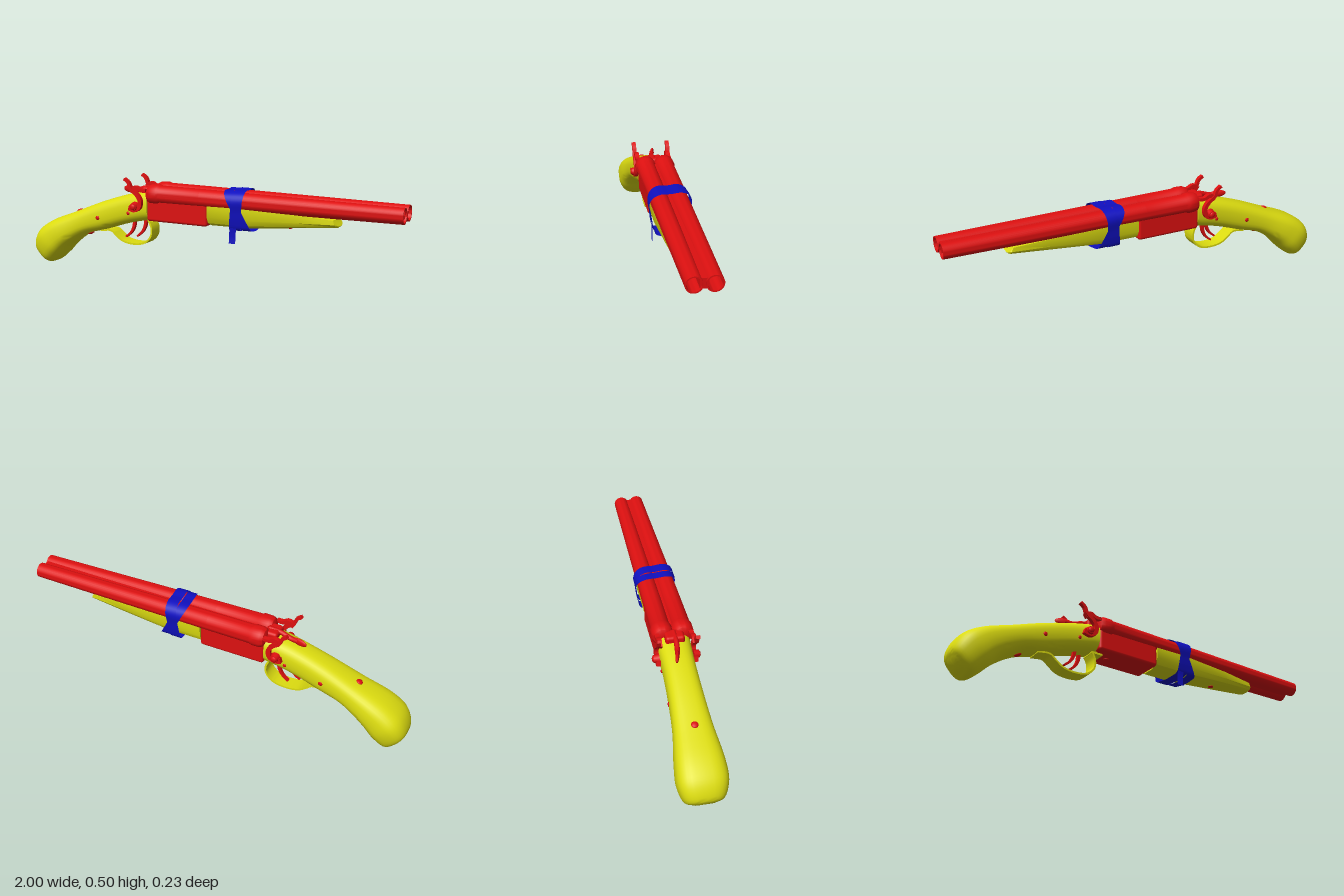
import * as THREE from 'three';
import { toCreasedNormals } from 'three/addons/utils/BufferGeometryUtils.js';
import { RoundedBoxGeometry } from 'three/addons/geometries/RoundedBoxGeometry.js';

const red = new THREE.MeshStandardMaterial({ color: 0xdd1010 });
const yellow = new THREE.MeshStandardMaterial({ color: 0xdddd10 });
const blue = new THREE.MeshStandardMaterial({ color: 0x1010c0, side: THREE.DoubleSide });
const V = (x, y, z = 0) => new THREE.Vector3(x, y, z);

// Closed skin over rings of points that run from -x to +x
function loft(rings) {
  const n = rings[0].length, pts = rings.flat(), index = [];
  for (let i = 0; i < rings.length - 1; i++) for (let j = 0; j < n; j++) {
    const k = (j + 1) % n, a = i * n + j, b = i * n + k;
    index.push(a, a + n, b, b, a + n, b + n);
  }
  [rings[0], rings[rings.length - 1]].forEach((ring, end) => {
    const c = pts.length;
    const mid = ring.reduce((s, p) => s.add(p), V(0, 0)).divideScalar(n);
    pts.push(mid, ...ring);
    for (let j = 0; j < n; j++) {
      const a = c + 1 + j, b = c + 1 + (j + 1) % n;
      index.push(c, end ? b : a, end ? a : b);
    }
  });
  const g = new THREE.BufferGeometry().setFromPoints(pts);
  g.setIndex(index);
  return toCreasedNormals(g, 0.6);
}

// Curved bar in the xy plane, tapering from t0 to t1, with a depth along z
function strip(points, t0, t1, depth, z = 0, steps = 24) {
  const curve = new THREE.CatmullRomCurve3(points.map(p => V(...p)));
  const a = [], b = [];
  for (let i = 0; i <= steps; i++) {
    const u = i / steps, p = curve.getPointAt(u), d = curve.getTangentAt(u);
    const h = (t0 + (t1 - t0) * u) / 2;
    a.push(new THREE.Vector2(p.x - d.y * h, p.y + d.x * h));
    b.unshift(new THREE.Vector2(p.x + d.y * h, p.y - d.x * h));
  }
  const g = new THREE.ExtrudeGeometry(new THREE.Shape([...a, ...b]), { depth, bevelEnabled: false });
  return toCreasedNormals(g.translate(0, 0, z - depth / 2), 0.6);
}

export function createModel() {
  const model = new THREE.Group();
  const add = (name, geometry, material, parent = model) => {
    const m = new THREE.Mesh(geometry, material);
    m.name = name;
    parent.add(m);
    return m;
  };
  const screw = (x, y, z, r, axis) => {
    const m = add('screw', new THREE.SphereGeometry(r, 14, 8), red);
    m.position.set(x, y, z);
    m.scale[axis] = 0.45;
    return m;
  };

  // Curved pistol stock: top edge (z holds the half width) and bottom edge
  const top = new THREE.CatmullRomCurve3([V(-0.985, 0.07, 0.04), V(-1, 0.11, 0.085), V(-0.97, 0.18, 0.112),
    V(-0.9, 0.233, 0.11), V(-0.74, 0.297, 0.09), V(-0.58, 0.36, 0.08), V(-0.42, 0.41, 0.076), V(-0.285, 0.44, 0.08)]);
  const bottom = new THREE.CatmullRomCurve3([V(-0.95, 0.028), V(-0.905, 0.006), V(-0.845, 0.05), V(-0.785, 0.11),
    V(-0.68, 0.18), V(-0.56, 0.215), V(-0.42, 0.26), V(-0.285, 0.291)]);
  const soft = v => Math.sign(v) * Math.abs(v) ** 0.72;
  const stockRings = [];
  for (let i = 0; i <= 35; i++) {
    const t = top.getPoint(i / 35), b = bottom.getPoint(i / 35), ring = [];
    for (let j = 0; j < 32; j++) {
      const a = j / 32 * Math.PI * 2, s = soft(Math.sin(a)) / 2;
      ring.push(V((t.x + b.x) / 2 + (t.x - b.x) * s, (t.y + b.y) / 2 + (t.y - b.y) * s, t.z * soft(Math.cos(a))));
    }
    stockRings.push(ring);
  }
  add('stock', loft(stockRings), yellow);

  // Receiver block and tapered forend
  const receiver = add('receiver', new RoundedBoxGeometry(0.335, 0.12, 0.16, 3, 0.014), red);
  receiver.position.set(-0.118, 0.352, 0);
  const forendRings = [[0.05, 0.05, 0.4, 0.294, 0.08], [0.24, 0.24, 0.395, 0.296, 0.08],
    [0.5, 0.5, 0.387, 0.32, 0.066], [0.675, 0.69, 0.375, 0.338, 0.052], [0.678, 0.697, 0.37, 0.345, 0.046]]
    .map(([xt, xb, yt, yb, w]) => [[1, 0.45], [1, 1], [-1, 1], [-1, 0.45], [-0.8, 0.15], [-0.4, 0], [0.4, 0], [0.8, 0.15]]
      .map(([z, v]) => V(xb + (xt - xb) * v, yb + (yt - yb) * v, w * z)));
  add('forend', loft(forendRings), yellow);

  // Twin hollow barrels, converging towards the muzzle
  const profile = [[0, 0], [0.028, 0], [0.043, 0.008], [0.051, 0.025], [0.052, 0.065], [0.047, 0.078],
    [0.046, 0.3], [0.0375, 1.29], [0.032, 1.29], [0.032, 0.2], [0, 0.2]].map(p => new THREE.Vector2(...p));
  for (const s of [1, -1]) {
    const start = V(-0.29, 0.426, 0.048 * s), end = V(1, 0.4225, 0.042 * s);
    const barrel = add('barrel', toCreasedNormals(new THREE.LatheGeometry(profile, 32), 0.5), red);
    barrel.position.copy(start);
    barrel.quaternion.setFromUnitVectors(V(0, 1), end.sub(start).normalize());
  }
  const rib = add('barrelRib', new THREE.BoxGeometry(1.26, 0.046, 0.036), red);
  rib.position.set(0.362, 0.423, 0);

  // Standing breech and thumb lever
  const breech = add('breech', new RoundedBoxGeometry(0.07, 0.05, 0.09, 3, 0.014), red);
  breech.position.set(-0.3, 0.432, 0);
  const lever = new THREE.Group();
  lever.name = 'thumbLever';
  model.add(lever);
  const arm = new THREE.CatmullRomCurve3([V(-0.28, 0.45, 0), V(-0.34, 0.445, 0), V(-0.39, 0.43, -0.004), V(-0.43, 0.432, -0.012)]);
  add('leverArm', new THREE.TubeGeometry(arm, 14, 0.012, 8), red, lever);
  const pad = add('leverPad', new THREE.SphereGeometry(1, 16, 10), red, lever);
  pad.scale.set(0.042, 0.018, 0.009);
  pad.position.set(-0.437, 0.431, -0.014);
  pad.rotation.y = -0.25;

  // Outside hammers with their pivots
  for (const s of [1, -1]) {
    const hammer = new THREE.Group();
    hammer.name = 'hammer';
    model.add(hammer);
    add('hammerBody', strip([[-0.405, 0.499], [-0.382, 0.482], [-0.368, 0.45], [-0.335, 0.425], [-0.316, 0.395],
      [-0.322, 0.36], [-0.35, 0.346], [-0.38, 0.355]], 0.014, 0.026, 0.02, 0.087 * s), red, hammer);
    add('hammerNose', strip([[-0.372, 0.44], [-0.345, 0.458], [-0.315, 0.446], [-0.285, 0.447]], 0.024, 0.014, 0.022, 0.08 * s, 10), red, hammer);
    const pivot = add('hammerPivot', new THREE.CylinderGeometry(0.018, 0.024, 0.026, 16), red, hammer);
    pivot.rotation.x = Math.PI / 2 * s;
    pivot.position.set(-0.35, 0.362, 0.093 * s);
    const cap = add('pivotCap', new THREE.SphereGeometry(0.015, 12, 8), red, hammer);
    cap.scale.z = 0.5;
    cap.position.set(-0.35, 0.362, 0.106 * s);
    screw(-0.395, 0.322, 0.077 * s, 0.009, 'z');
    screw(-0.578, 0.283, 0.08 * s, 0.011, 'z');
  }
  screw(-0.74, 0.297, 0, 0.016, 'y').rotation.z = 0.38;
  screw(-0.672, 0.183, 0, 0.018, 'y').rotation.z = 0.4;
  screw(-0.2, 0.291, 0, 0.014, 'y');
  screw(0.45, 0.314, 0, 0.014, 'y');

  // Trigger guard with its tail, front foot and two triggers
  add('triggerGuard', strip([[-0.3, 0.288], [-0.284, 0.25], [-0.288, 0.205], [-0.325, 0.168], [-0.39, 0.156], [-0.455, 0.166],
    [-0.492, 0.19], [-0.525, 0.214], [-0.59, 0.208]], 0.009, 0.009, 0.076, 0, 48), yellow);
  const foot = add('guardFoot', new THREE.BoxGeometry(0.06, 0.014, 0.076), yellow);
  foot.position.set(-0.275, 0.289, 0);
  [[-0.345, -0.018], [-0.39, 0.018]].forEach(([x, z]) => add('trigger',
    strip([[x, 0.285], [x - 0.003, 0.25], [x - 0.02, 0.215], [x - 0.052, 0.187]], 0.018, 0.009, 0.016, z, 12), red));

  // Crossing tape wraps and a hanging tail
  const half = [[0, 0.474], [0.05, 0.476], [0.084, 0.46], [0.099, 0.43], [0.093, 0.38], [0.087, 0.33], [0.076, 0.295], [0.04, 0.287], [0, 0.284]];
  const loop = [...half, ...half.slice(1, -1).reverse().map(([z, y]) => [-z, y])];
  const ribbon = (points, width, closed) => {
    const curve = new THREE.CatmullRomCurve3(points, closed, 'centripetal');
    const g = new THREE.PlaneGeometry(1, 1, 1, 64), p = g.attributes.position;
    for (let i = 0; i < p.count; i++) {
      const c = curve.getPoint(Math.floor(i / 2) / 64);
      p.setXYZ(i, c.x + (i % 2 - 0.5) * width, c.y, c.z);
    }
    g.computeVertexNormals();
    return g;
  };
  [[0.155, 0.255, 0.05, 1], [0.212, 0.19, 0.058, 1.025]].forEach(([xt, xb, width, grow]) => add('tapeWrap',
    ribbon(loop.map(([z, y]) => V(xt + (xb - xt) * (0.475 - y) / 0.19 + 0.1 * z, 0.38 + (y - 0.38) * grow, z * grow)), width, true), blue));
  add('tapeTail', ribbon([V(0.2, 0.34, 0.091), V(0.192, 0.3, 0.083), V(0.188, 0.26, 0.081), V(0.188, 0.225, 0.083)], 0.034, false), blue);

  return model;
}
